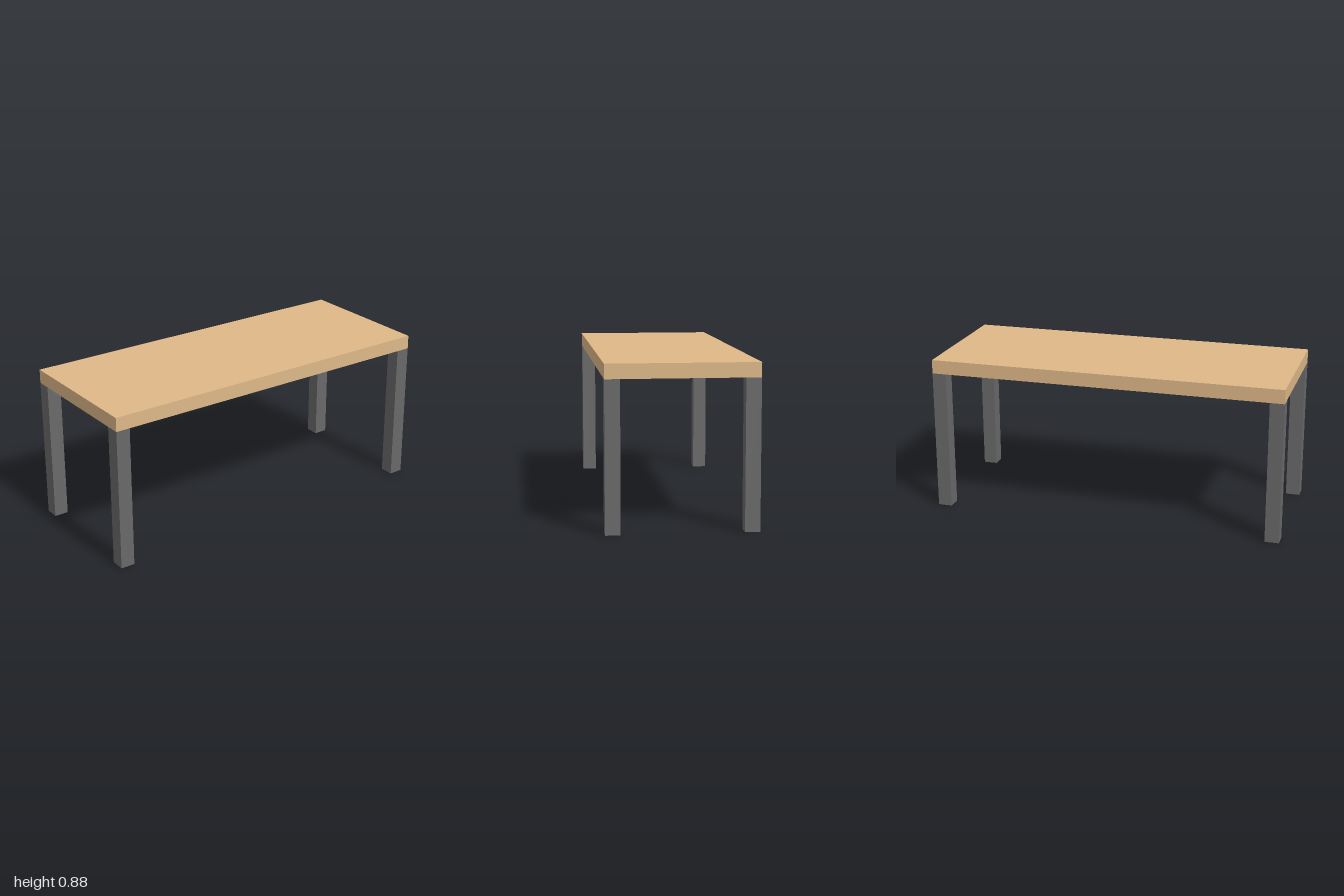
import * as THREE from 'three';

const WIDTH = 2, DEPTH = 0.8, LEG = 0.08, LEG_HEIGHT = 0.798, TOP = 0.078;

export function createModel() {
  const table = new THREE.Group();
  table.name = 'table';
  const wood = new THREE.MeshStandardMaterial({ color: 0xdeb887 });
  const metal = new THREE.MeshStandardMaterial({ color: 0x696969 });

  // Tabletop slab
  const top = new THREE.Mesh(new THREE.BoxGeometry(WIDTH, TOP, DEPTH), wood);
  top.name = 'tabletop';
  top.position.y = LEG_HEIGHT + TOP / 2;
  table.add(top);

  // Four square legs, flush with the corners
  const legGeometry = new THREE.BoxGeometry(LEG, LEG_HEIGHT, LEG);
  for (const [sx, side] of [[1, 'Left'], [-1, 'Right']]) {
    for (const [sz, end] of [[1, 'front'], [-1, 'back']]) {
      const leg = new THREE.Mesh(legGeometry, metal);
      leg.name = `${end}${side}Leg`;
      leg.position.set(sx * (WIDTH - LEG) / 2, LEG_HEIGHT / 2, sz * (DEPTH - LEG) / 2);
      table.add(leg);
    }
  }
  return table;
}
